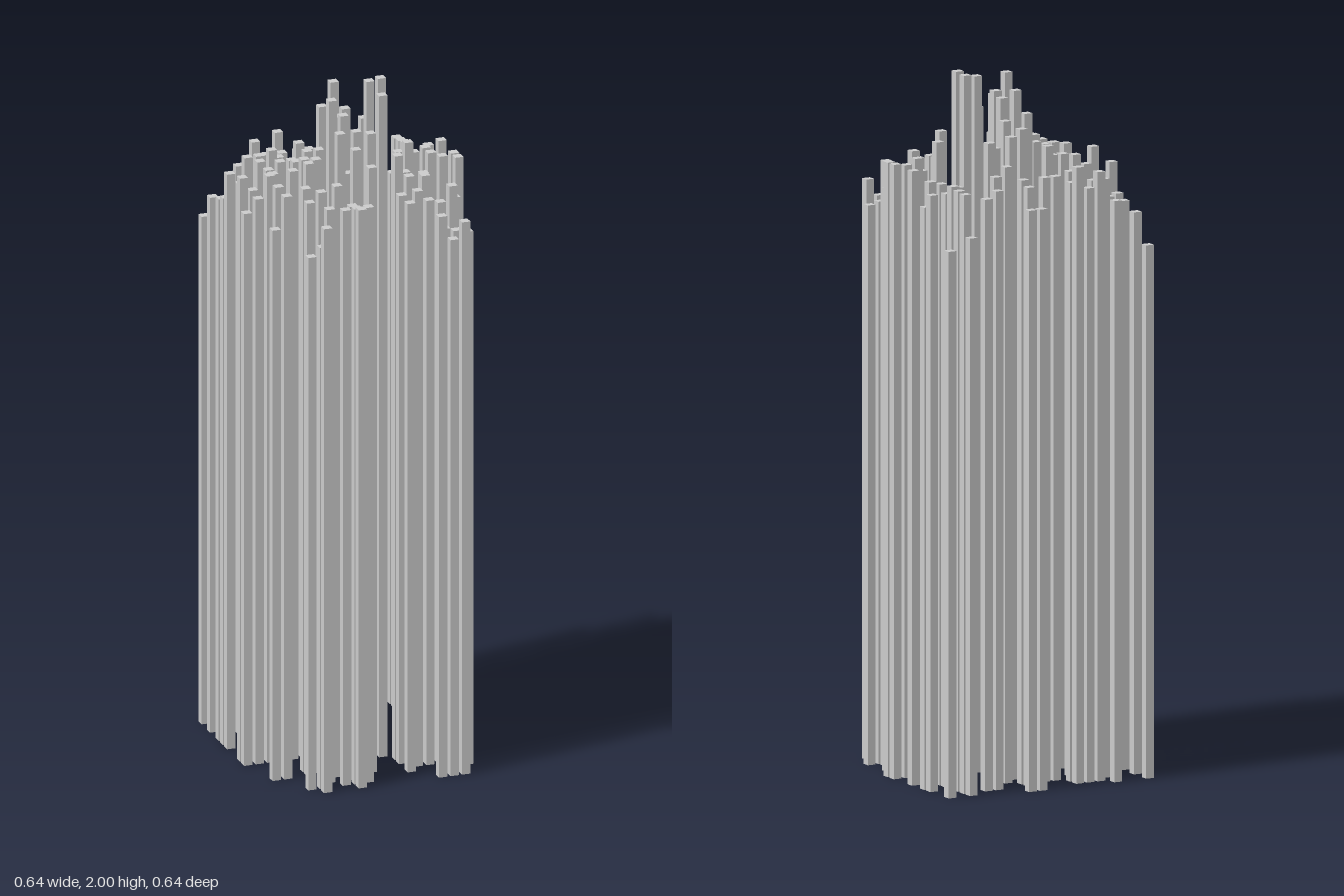
import * as THREE from 'three';

// Plan of the bars: one string per row from back to front, one character per column.
const PLAN = [
  '#..#......##.......',
  '....###.........#.#',
  '#..##.#...#..##.#..',
  '..#..#.##.#.....#..',
  '#....#.....##...#.#',
  '#..##....##.#..##.#',
  '#.#...#.####....##.',
  '...###............#',
  '...#.###...........',
  '#..........##......',
  '###.###.#.....#.###',
  '.....#.##......#..#',
  '..#.....#.##.#.....',
  '....#..#....##...#.',
  '.##.##..#...#.#.#..',
  '......##.#...####..',
  '.....#.#....#..###.',
  '...##.###..........',
  '....#..#......###..',
];

// Skyline: tallest bar of each column (left to right) and each row (back to front).
const COL_TOP = [1.755, 1.7, 1.765, 1.74, 1.77, 1.8, 1.795, 1.98, 1.93, 1.965,
  1.88, 1.995, 2, 1.75, 1.81, 1.725, 1.77, 1.755, 1.76];
const ROW_TOP = [1.665, 1.765, 1.715, 1.73, 1.765, 1.86, 1.965, 1.76, 1.795, 2,
  1.915, 1.98, 1.99, 1.905, 1.865, 1.82, 1.725, 1.73, 1.74];

const STEP = 0.0344;
const WIDTH = 0.025;

// Small repeatable noise in 0..1
function seeded(seed) {
  let s = seed;
  return () => (s = (s * 16807) % 2147483647) / 2147483647;
}

export function createModel() {
  const group = new THREE.Group();
  group.name = 'barCluster';
  const material = new THREE.MeshStandardMaterial({ color: 0xcccccc, flatShading: true });
  const random = seeded(4711);

  // Bars fall away from the middle with some variation, below the skyline.
  const bars = [];
  PLAN.forEach((line, row) => {
    [...line].forEach((mark, col) => {
      if (mark !== '#') return;
      const x = (col - 9) * STEP;
      const z = (row - 9) * STEP;
      const r = Math.hypot(x, z);
      const cap = Math.min(COL_TOP[col], ROW_TOP[row]);
      const height = Math.min(cap, 1.93 - 0.75 * r + (random() - 0.5) * 0.16);
      bars.push({ row, col, x, z, r, cap, height });
    });
  });

  // The innermost bar that can reach the skyline of its row or column does so.
  const raise = (key, tops) => tops.forEach((top, i) => {
    const line = bars.filter((b) => b[key] === i);
    const best = line.sort((a, b) => b.cap - a.cap || a.r - b.r)[0];
    best.height = best.cap;
  });
  raise('row', ROW_TOP);
  raise('col', COL_TOP);

  // Square bars standing on the ground
  const box = new THREE.BoxGeometry(WIDTH, 1, WIDTH).translate(0, 0.5, 0);
  for (const b of bars) {
    const bar = new THREE.Mesh(box, material);
    bar.name = `bar_${b.row}_${b.col}`;
    bar.position.set(b.x, 0, b.z);
    bar.scale.y = b.height;
    group.add(bar);
  }
  return group;
}
